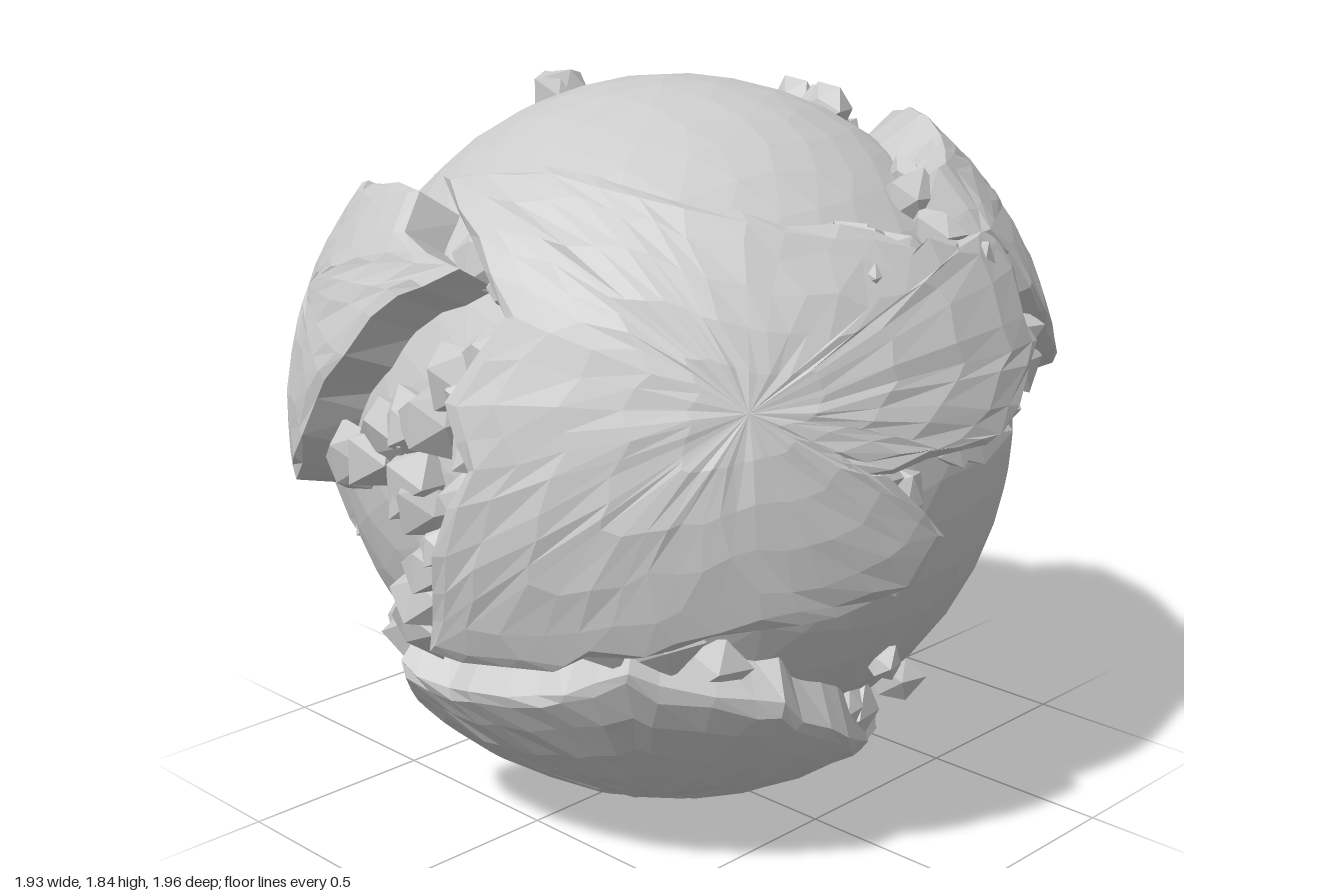
import * as THREE from 'three';

const SEA = 0.86, LAND = 0.98;

// Small seeded random source in -0.5 .. 0.5
let seed = 7;
const rnd = () => {
  seed = (seed * 16807) % 2147483647;
  return seed / 2147483647 - 0.5;
};

// Direction from longitude (0 front, 90 left) and latitude in degrees
const toDir = ([lon, lat]) => new THREE.Vector3().setFromSphericalCoords(
  1, THREE.MathUtils.degToRad(90 - lat), THREE.MathUtils.degToRad(lon));

// Random vector with sides of the given length
const shake = (a) => new THREE.Vector3(rnd(), rnd(), rnd()).multiplyScalar(a);

// Repeatable wobble from a position, so that shared corners move together
const wobble = (v, k) => {
  const s = Math.sin(Math.round(v.x * 500) * 12.99 + Math.round(v.y * 500) * 78.23 + Math.round(v.z * 500) * 37.72 + k * 9.1) * 4375.85;
  return s - Math.floor(s) - 0.5;
};

const stone = new THREE.MeshStandardMaterial({ color: 0xcccccc, flatShading: true });
const group = (name) => Object.assign(new THREE.Group(), { name });

// Moves every corner of a geometry by a rule
function reshape(geo, rule) {
  const pos = geo.attributes.position;
  const v = new THREE.Vector3();
  for (let i = 0; i < pos.count; i++) {
    rule(v.fromBufferAttribute(pos, i));
    pos.setXYZ(i, v.x, v.y, v.z);
  }
  geo.computeVertexNormals();
  return geo;
}

// Faceted globe with slightly uneven triangles
function ocean() {
  const geo = reshape(new THREE.IcosahedronGeometry(SEA, 7), (v) => {
    const d = new THREE.Vector3(wobble(v, 1), wobble(v, 2), wobble(v, 3));
    v.addScaledVector(d, 0.045).setLength(SEA);
  });
  const mesh = new THREE.Mesh(geo, stone);
  mesh.name = 'oceanSphere';
  return mesh;
}

// Angular stone half sunk in the surface
function rock(dir, size) {
  const k = rnd() * 10;
  const geo = reshape(new THREE.IcosahedronGeometry(size, 0), (v) => v.multiplyScalar(1 + 0.6 * wobble(v, k)));
  const mesh = new THREE.Mesh(geo, stone);
  mesh.position.copy(dir).setLength(SEA + 0.01);
  mesh.name = 'rock';
  return mesh;
}

// Coastline divided into short, ragged steps
function coast(outline) {
  const corners = outline.map(toDir);
  return corners.flatMap((a, i) => {
    const b = corners[(i + 1) % corners.length];
    const n = Math.max(1, Math.round(a.distanceTo(b) / 0.1));
    return Array.from({ length: n }, (_, k) => a.clone().lerp(b, k / n).add(shake(0.035)).normalize());
  });
}

// Raised plate: rings from the middle to the coast, then a cliff down into the sea.
// Outlines run anticlockwise as seen from outside.
function plate(rim, radius) {
  const c = rim.reduce((s, p) => s.add(p), new THREE.Vector3()).normalize();
  const n = rim.length;
  const pos = c.clone().multiplyScalar(radius).toArray(), idx = [];
  for (const t of [0.2, 0.4, 0.6, 0.8, 0.94]) {
    for (const p of rim) {
      const v = c.clone().lerp(p, t).add(shake(0.03 * t));
      pos.push(...v.setLength(radius + 0.008 * rnd()).toArray());
    }
  }
  for (const p of rim) pos.push(...p.clone().setLength(radius - 0.012 + 0.02 * rnd()).toArray());
  for (const p of rim) {
    const out = p.clone().sub(c).setLength(0.04 + 0.03 * rnd());
    pos.push(...out.add(p).setLength(SEA - 0.03).toArray());
  }
  for (let i = 0; i < n; i++) {
    const j = (i + 1) % n;
    idx.push(0, 1 + i, 1 + j);
    for (let a = 1; a <= 1 + 5 * n; a += n) {
      const b = a + n;
      idx.push(a + i, b + i, b + j, a + i, b + j, a + j);
    }
  }
  const geo = new THREE.BufferGeometry();
  geo.setAttribute('position', new THREE.Float32BufferAttribute(pos, 3));
  geo.setIndex(idx);
  geo.computeVertexNormals();
  return geo;
}

// Continent with rubble along its coast
function continent(name, outline, rubble, radius = LAND) {
  const part = group(name);
  const rim = coast(outline);
  const land = new THREE.Mesh(plate(rim, radius), stone.clone());
  land.material.side = THREE.DoubleSide;
  land.name = name + 'Plate';
  part.add(land);
  for (const p of rim) {
    if (rnd() + 0.5 < rubble) part.add(rock(p, 0.07 + 0.04 * rnd()));
  }
  return part;
}

// Row of broken rocks along a line on the surface
function ridge(name, line, count, size) {
  const part = group(name);
  const curve = new THREE.CatmullRomCurve3(line.map(toDir));
  for (let i = 0; i < count; i++) {
    part.add(rock(curve.getPoint(i / (count - 1)).add(shake(0.05)), size * (1 + 0.3 * rnd())));
  }
  return part;
}

// Loose stones scattered around a spot
function scatter(name, spot, count, spread, size) {
  const part = group(name);
  for (let i = 0; i < count; i++) part.add(rock(toDir(spot).add(shake(spread)), size * (1 + 0.5 * rnd())));
  return part;
}

export function createModel() {
  seed = 7;
  const globe = group('globe');
  globe.position.y = 0.975;
  globe.add(
    ocean(),
    // Raised land
    continent('mainContinent', [[-4, 44], [9, 37], [19, 27], [12, 15], [16, 6], [11, -6], [6, -23], [33, -19], [50, -15],
      [78, -11], [84, -4], [69, 7], [81, 6], [96, 7], [110, 16], [113, 33], [86, 34], [64, 40], [46, 44], [18, 48]], 0.35),
    continent('westContinent', [[-81, 15], [-68, 3], [-30, -7], [-18, 9], [0, 27], [9, 32], [-6, 36], [-10, 42],
      [-33, 39], [-55, 35], [-77, 25]], 0.1),
    continent('southContinent', [[-7, -29], [-23, -47], [-36, -63], [153, -83], [148, -61], [129, -56], [100, -52],
      [78, -40], [62, -28], [38, -21], [17, -29]], 0.3),
    continent('lowerWestContinent', [[-56, -10], [-84, -11], [-117, -16], [-141, -17], [-138, -26], [-120, -41],
      [-90, -54], [-70, -52], [-60, -32]], 0.08),
    continent('backContinent', [[142, 52], [108, 44], [108, 33], [121, 19], [132, 9], [143, 19], [156, 26], [172, 37],
      [170, 45]], 0.3),
    continent('backIsland', [[162, 0], [174, 3], [180, -9], [180, -25], [172, -22], [164, -10]], 0.4, 1),
    // Broken ridges in the front rift, at the inlet, the west gap and the island
    ridge('riftRidge', [[-15, 1], [0, 8], [9, 16]], 6, 0.085),
    ridge('riftSpur', [[1, 2], [6, -4], [2, -16], [-9, -30]], 8, 0.085),
    ridge('inletRidge', [[78, 36], [92, 31], [105, 27]], 4, 0.11),
    ridge('southRidge', [[33, -18], [42, -21]], 2, 0.1),
    ridge('westGapRidge', [[-74, 10], [-68, -2]], 3, 0.1),
    ridge('westHill', [[-30, 11], [-24, 13]], 2, 0.1),
    ridge('islandRidge', [[160, -6], [175, -20]], 4, 0.09),
    // Loose stones
    scatter('topStones', [170, 57], 7, 0.35, 0.06),
    scatter('westTopStones', [-122, 62], 1, 0, 0.06),
    scatter('frontTopStones', [-75, 68], 2, 0.06, 0.055),
    scatter('farWestStones', [-130, 42], 2, 0.2, 0.04),
    scatter('backPeak', [172, 29], 2, 0.1, 0.09),
    scatter('sideStones', [97, -35], 2, 0.3, 0.06),
    scatter('lowBackStones', [-164, -25], 6, 0.22, 0.06),
    scatter('lowSideStone', [139, -28], 1, 0, 0.05),
    scatter('frontStones', [-30, -36], 2, 0.25, 0.055),
  );
  const model = new THREE.Group();
  model.add(globe);
  return model;
}
